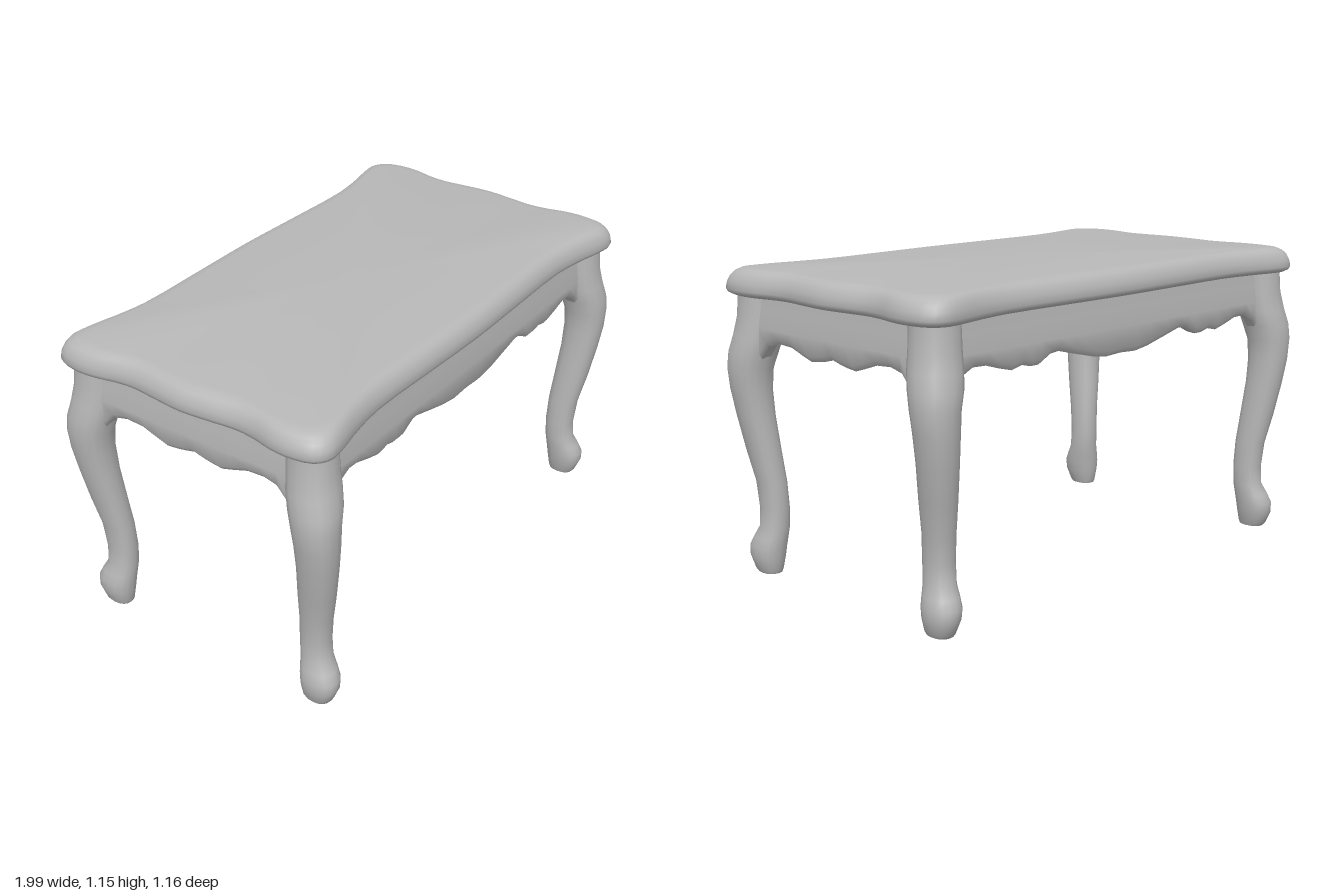
import * as THREE from 'three';
import { toCreasedNormals } from 'three/addons/utils/BufferGeometryUtils.js';

const grey = new THREE.MeshStandardMaterial({ color: 0xb8b8b8 });
grey.name = 'plain grey';

// Skins closed rings of [x, y, z] points and caps both ends
function loft(name, rings, crease = 0.9) {
  const n = rings[0].length, pos = rings.flat(2), idx = [];
  for (let i = 0; i < rings.length - 1; i++) {
    for (let j = 0; j < n; j++) {
      const k = (j + 1) % n, a = i * n, b = a + n;
      idx.push(a + j, a + k, b + k, a + j, b + k, b + j);
    }
  }
  for (const i of [0, rings.length - 1]) {
    const c = pos.length / 3;
    for (let t = 0; t < 3; t++) pos.push(rings[i].reduce((s, p) => s + p[t], 0) / n);
    for (let j = 0; j < n; j++) {
      const p = i * n + j, q = i * n + (j + 1) % n;
      idx.push(c, i ? p : q, i ? q : p);
    }
  }
  const g = new THREE.BufferGeometry();
  g.setAttribute('position', new THREE.Float32BufferAttribute(pos, 3));
  g.setIndex(idx);
  const mesh = new THREE.Mesh(toCreasedNormals(g, crease), grey);
  mesh.name = name;
  return mesh;
}

// Serpentine top with flared corners and a rounded rim
function tableTop() {
  const quarter = [[0.985, 0], [0.975, 0.12], [0.965, 0.22], [0.972, 0.3], [0.99, 0.38], [0.994, 0.46],
    [0.975, 0.54], [0.93, 0.573], [0.85, 0.567], [0.75, 0.545], [0.6, 0.525], [0.3, 0.53], [0, 0.537]];
  const half = [...quarter, ...quarter.slice(0, -1).reverse().map(([x, z]) => [-x, z])];
  const loop = [...half, ...half.slice(1, -1).reverse().map(([x, z]) => [x, -z])];
  const curve = new THREE.CatmullRomCurve3(loop.map(([x, z]) => new THREE.Vector3(x, 0, z)), true);
  const outline = curve.getPoints(120).slice(0, -1).reverse();
  // [height, inset]
  const rim = [[1.052, 0.06], [1.053, 0.02], [1.062, 0.005], [1.075, 0], [1.1, 0.004],
    [1.12, 0.012], [1.137, 0.025], [1.147, 0.042], [1.151, 0.07]];
  return loft('tableTop', rim.map(([y, d]) =>
    outline.map((p) => [p.x * (1 - d), y, p.z * (1 - d / 0.57)])));
}

// Cabriole leg: [y, inner x, outer x, inner z, outer z]
const LEG = [[0, 0.84, 0.915, 0.42, 0.52], [0.012, 0.835, 0.922, 0.415, 0.53], [0.06, 0.822, 0.935, 0.408, 0.55],
  [0.1, 0.817, 0.935, 0.403, 0.552], [0.135, 0.814, 0.925, 0.4, 0.535], [0.175, 0.811, 0.912, 0.397, 0.512],
  [0.25, 0.811, 0.91, 0.394, 0.508], [0.35, 0.815, 0.916, 0.398, 0.518], [0.47, 0.825, 0.94, 0.408, 0.543],
  [0.6, 0.834, 0.963, 0.42, 0.565], [0.7, 0.838, 0.98, 0.422, 0.578], [0.78, 0.833, 0.99, 0.415, 0.581],
  [0.84, 0.815, 0.987, 0.4, 0.578], [0.9, 0.8, 0.975, 0.385, 0.563], [0.97, 0.795, 0.962, 0.38, 0.549],
  [1.06, 0.795, 0.957, 0.38, 0.543]];

function leg(name, sx, sz) {
  const sides = 16;
  const soft = (v) => Math.sign(v) * Math.abs(v) ** 0.85;
  return loft(name, LEG.map(([y, x0, x1, z0, z1]) => Array.from({ length: sides }, (_, j) => {
    const a = (j / sides) * Math.PI * 2;
    return [sx * (x0 + x1) / 2 + soft(Math.sin(a)) * (x1 - x0) / 2, y,
      sz * (z0 + z1) / 2 + soft(Math.cos(a)) * (z1 - z0) / 2];
  })));
}

// Apron rail with a scalloped lower edge, given as [distance from centre, y]
const LONG_EDGE = [[0, 0.842], [0.08, 0.838], [0.15, 0.848], [0.25, 0.872], [0.33, 0.892], [0.37, 0.888],
  [0.43, 0.858], [0.47, 0.858], [0.51, 0.868], [0.56, 0.857], [0.62, 0.872], [0.68, 0.89], [0.74, 0.892],
  [0.79, 0.868], [0.83, 0.82], [0.87, 0.77]];
const SHORT_EDGE = [[0, 0.874], [0.04, 0.864], [0.08, 0.857], [0.12, 0.853], [0.17, 0.868], [0.23, 0.888],
  [0.3, 0.892], [0.36, 0.877], [0.41, 0.82], [0.45, 0.77]];

function apron(name, edge, out, angle) {
  const full = [...edge.slice(1).reverse().map(([u, y]) => [-u, y]), ...edge];
  const mesh = loft(name, full.map(([u, y]) => [
    [u, 1.06, out - 0.01], [u, 1.0, out - 0.004], [u, 0.94, out + 0.004], [u, y + 0.02, out + 0.004],
    [u, y, out - 0.012], [u, y + 0.004, out - 0.05], [u, 0.97, out - 0.075], [u, 1.06, out - 0.12],
  ]));
  mesh.rotation.y = angle;
  return mesh;
}

// Sloped cross brace beneath the top
function brace(name, x) {
  const ring = (z) => [[x - 0.13, 1.06, z], [x - 0.07, 0.97, z], [x + 0.07, 0.97, z], [x + 0.13, 1.06, z]];
  return loft(name, [ring(-0.46), ring(0.46)], 0.3);
}

export function createModel() {
  const table = new THREE.Group();
  table.name = 'table';
  table.add(tableTop());
  for (const [side, sx] of [['Left', 1], ['Right', -1]]) {
    table.add(leg(`front${side}Leg`, sx, 1), leg(`back${side}Leg`, sx, -1));
    table.add(apron(`apron${side}`, SHORT_EDGE, 0.935, sx * Math.PI / 2));
    table.add(brace(`brace${side}`, sx * 0.45));
  }
  table.add(apron('apronFront', LONG_EDGE, 0.505, 0), apron('apronBack', LONG_EDGE, 0.505, Math.PI));
  return table;
}
